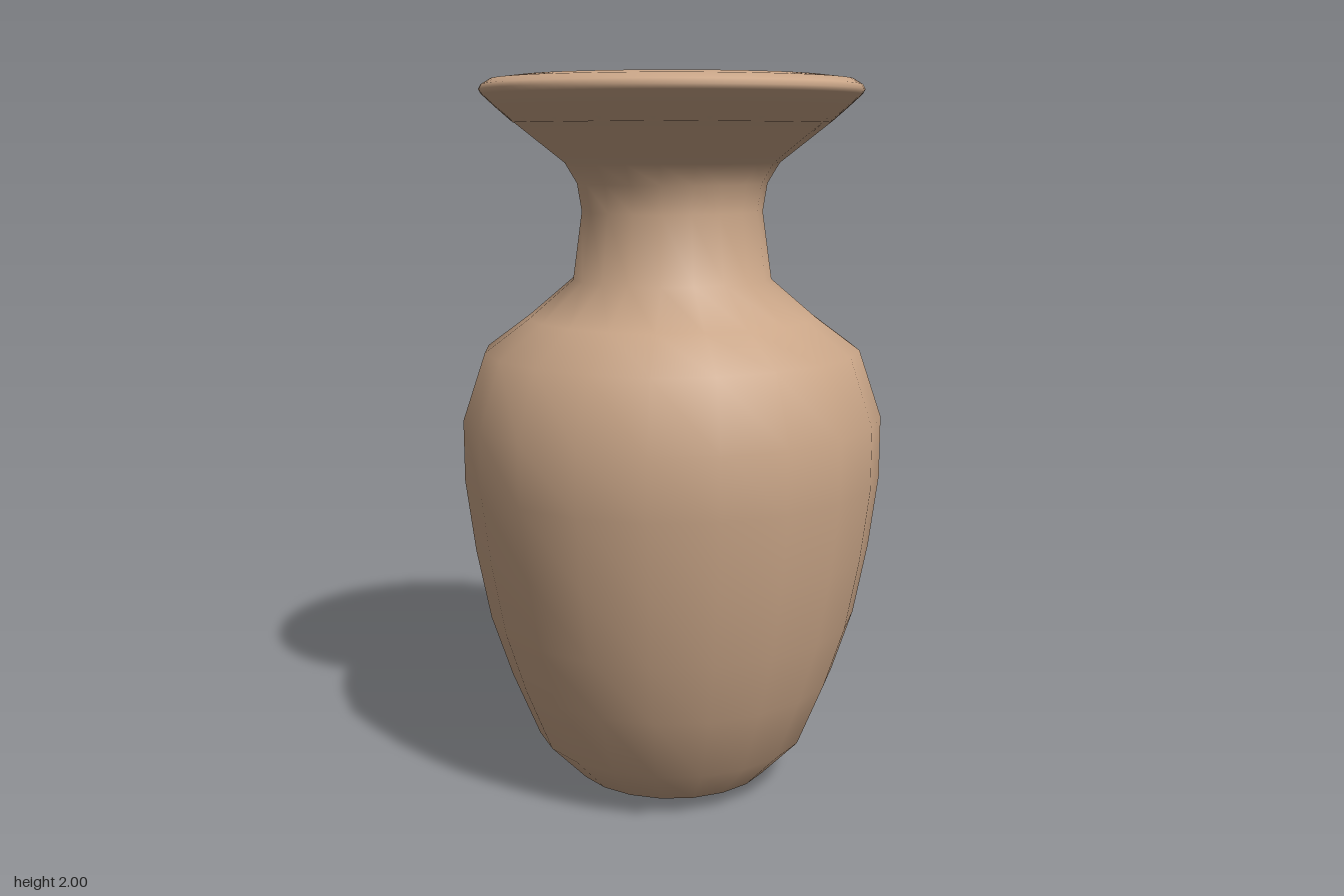
import * as THREE from 'three';

const clay = new THREE.MeshStandardMaterial({ color: 0xc9a587, side: THREE.DoubleSide });

// Turn a list of [radius, height] points around the y axis
function turned(name, points, sides) {
  const profile = points.map(([r, y]) => new THREE.Vector2(r, y));
  const mesh = new THREE.Mesh(new THREE.LatheGeometry(profile, sides), clay);
  mesh.name = name;
  return mesh;
}

export function createModel() {
  const group = new THREE.Group();
  group.name = 'vase';

  // Foot, belly, shoulder and neck
  group.add(turned('outerBody', [
    [0, 0], [0.11, 0.005], [0.285, 0.035], [0.39, 0.145], [0.465, 0.33], [0.522, 0.505],
    [0.56, 0.705], [0.585, 0.905], [0.585, 1.075], [0.522, 1.26], [0.4, 1.35],
    [0.276, 1.455], [0.25, 1.64], [0.262, 1.715], [0.295, 1.77], [0.445, 1.888],
  ], 20));

  // Hollow inside, from the throat down to the floor
  group.add(turned('innerWall', [
    [0.27, 1.89], [0.242, 1.8], [0.232, 1.64], [0.25, 1.46], [0.38, 1.325], [0.495, 1.235],
    [0.555, 1.065], [0.555, 0.91], [0.53, 0.71], [0.49, 0.515], [0.435, 0.345],
    [0.36, 0.17], [0.265, 0.07], [0.11, 0.035], [0, 0.03],
  ], 20));

  // Flared lip with a rounded edge, rolling into the throat
  group.add(turned('rim', [
    [0.43, 1.876], [0.475, 1.915], [0.513, 1.95], [0.52, 1.962], [0.513, 1.975], [0.488, 1.99],
    [0.42, 1.998], [0.37, 2], [0.33, 1.992], [0.305, 1.972], [0.285, 1.935], [0.27, 1.89],
  ], 80));

  return group;
}
